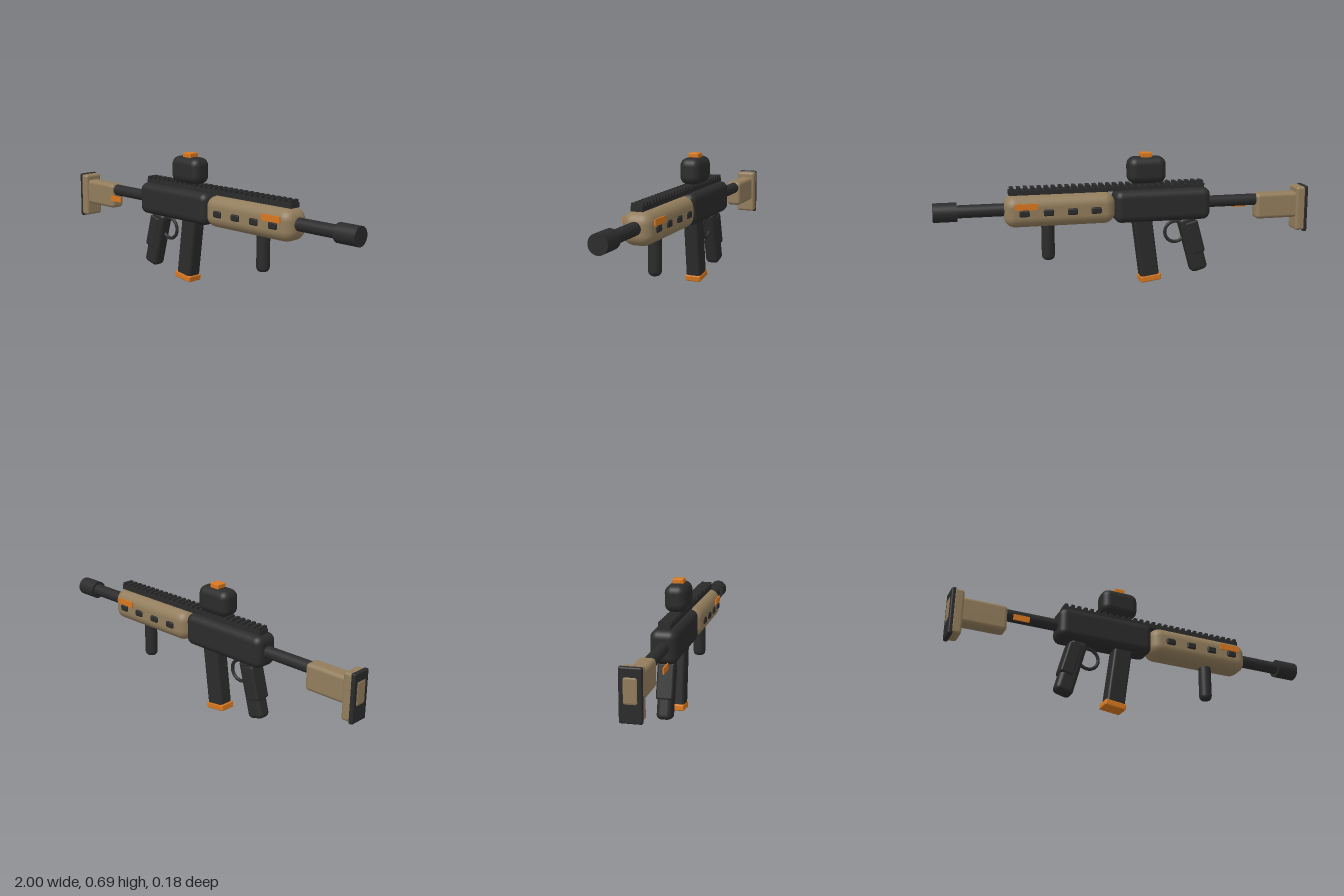
import * as THREE from 'three';
import { RoundedBoxGeometry } from 'three/addons/geometries/RoundedBoxGeometry.js';

const mat = (name, color) => {
  const m = new THREE.MeshStandardMaterial({ color });
  m.name = name;
  return m;
};

export function createModel() {
  const dark = mat('charcoal', 0x2b2b2b);
  const tan = mat('tan', 0x927d5c);
  const orange = mat('orange', 0xd9781e);

  const model = new THREE.Group();
  model.name = 'toyBlaster';

  const add = (name, geometry, material, x, y, z = 0, tilt = 0) => {
    const mesh = new THREE.Mesh(geometry, material);
    mesh.name = name;
    mesh.position.set(x, y, z);
    mesh.rotation.z = tilt;
    model.add(mesh);
    return mesh;
  };
  // Rounded box given by its extents in x and y and its depth
  const block = (name, material, x0, x1, y0, y1, depth, radius, z = 0) =>
    add(name, new RoundedBoxGeometry(x1 - x0, y1 - y0, depth, 4, radius), material,
      (x0 + x1) / 2, (y0 + y1) / 2, z);
  // Cylinder lying along x
  const rod = (name, x0, x1, y, radius) =>
    add(name, new THREE.CylinderGeometry(radius, radius, x1 - x0, 32), dark,
      (x0 + x1) / 2, y, 0, Math.PI / 2);

  // Main body
  block('receiver', dark, -0.44, 0.078, 0.334, 0.505, 0.138, 0.04);
  block('handguard', tan, 0.075, 0.647, 0.338, 0.5, 0.156, 0.056);
  rod('barrel', 0.6, 0.9, 0.427, 0.033);
  rod('muzzle', 0.88, 1, 0.426, 0.049);

  // Handguard vents and accent plates on both sides
  for (const side of [1, -1]) {
    for (let i = 0; i < 4; i++) {
      const x = 0.18 + i * 0.123;
      block('vent', dark, x - 0.026, x + 0.026, 0.4, 0.434, 0.02, 0.008, side * 0.078);
    }
    add('accentPlate', new THREE.BoxGeometry(0.115, 0.032, 0.007), orange, 0.538, 0.451, side * 0.081);
  }

  // Top rail with teeth
  add('rail', new THREE.BoxGeometry(1.03, 0.024, 0.06), dark, 0.105, 0.514);
  const teeth = 29;
  for (let i = 0; i < teeth; i++) {
    add('railTooth', new THREE.BoxGeometry(0.018, 0.018, 0.06), dark,
      -0.395 + i * (1.0 / (teeth - 1)), 0.532);
  }

  // Sight
  block('sight', dark, -0.2, 0.002, 0.536, 0.676, 0.114, 0.042);
  block('sightButton', orange, -0.125, -0.068, 0.668, 0.697, 0.056, 0.004);

  // Stock
  rod('stockTube', -0.74, -0.42, 0.42, 0.031);
  block('stock', tan, -0.999, -0.705, 0.316, 0.455, 0.082, 0.02);
  block('buttPlate', tan, -0.985, -0.93, 0.245, 0.485, 0.106, 0.014);
  block('buttPad', dark, -0.996, -0.972, 0.238, 0.49, 0.106, 0.008);
  add('stockLever', new THREE.BoxGeometry(0.083, 0.03, 0.007), orange, -0.643, 0.384, 0.065);

  // Pistol grip and its thicker back panel
  const lean = -0.262;
  add('grip', new RoundedBoxGeometry(0.094, 0.31, 0.076, 4, 0.024), dark, -0.355, 0.197, 0, lean);
  add('gripPanel', new RoundedBoxGeometry(0.07, 0.18, 0.086, 3, 0.01), dark, -0.363, 0.235, 0, lean);

  // Trigger guard
  add('triggerGuard', new THREE.TorusGeometry(0.056, 0.009, 10, 32), dark, -0.26, 0.265);

  // Magazine
  add('magazine', new RoundedBoxGeometry(0.1, 0.34, 0.08, 4, 0.014), dark, -0.096, 0.19, 0, -0.13);
  add('magazineBase', new RoundedBoxGeometry(0.114, 0.034, 0.086, 3, 0.007), orange, -0.119, 0.0255, 0, -0.13);

  // Foregrip: round post with a softened lower end
  const profile = [[0, 0], [0.014, 0], [0.024, 0.004], [0.031, 0.012], [0.034, 0.024], [0.034, 0.2]]
    .map(([r, y]) => new THREE.Vector2(r, y));
  add('foregrip', new THREE.LatheGeometry(profile, 32), dark, 0.422, 0.152);

  return model;
}
